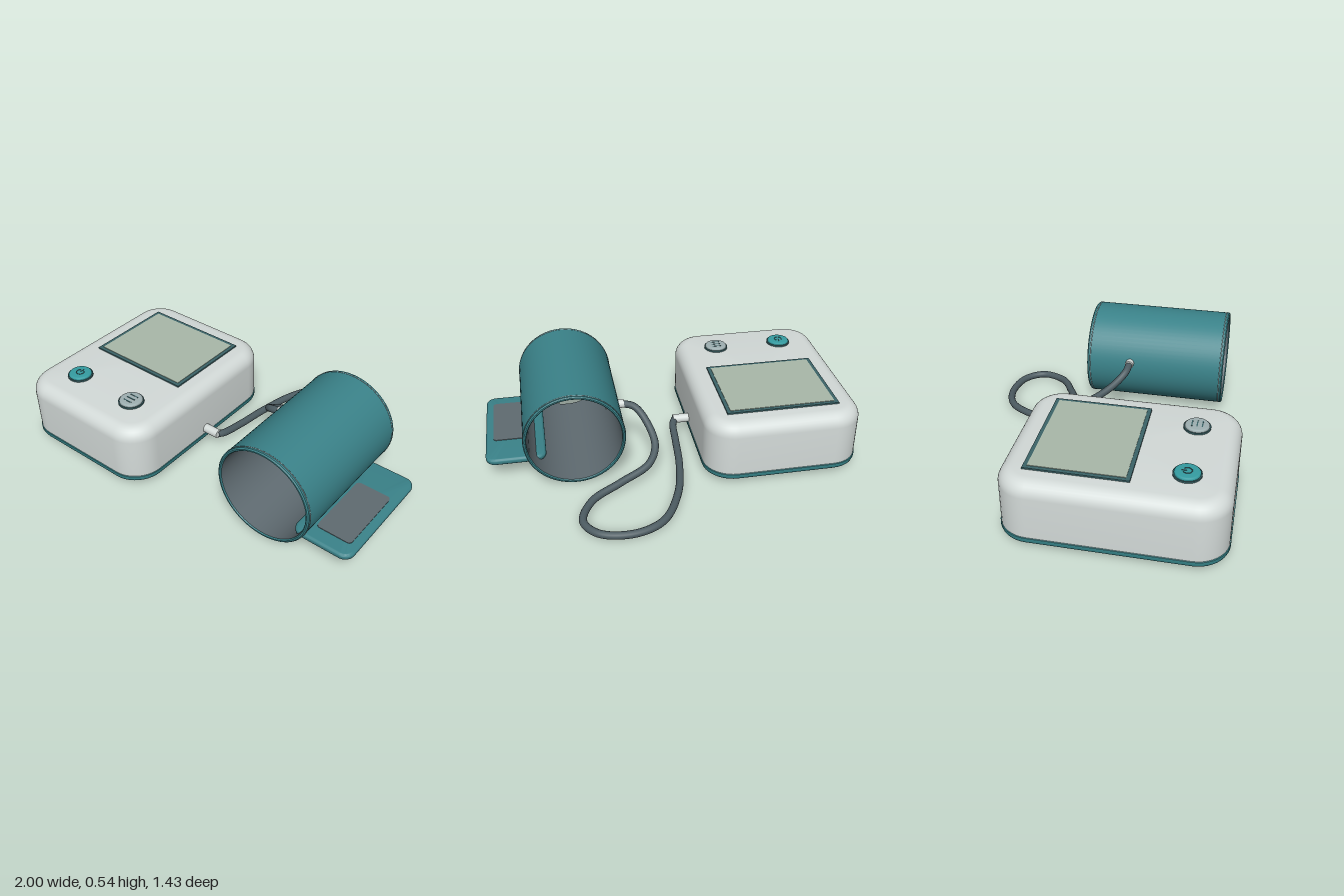
import * as THREE from 'three';
import { toCreasedNormals } from 'three/addons/utils/BufferGeometryUtils.js';

const mat = (color, side = THREE.FrontSide) =>
  new THREE.MeshStandardMaterial({ color, side, roughness: 0.6 });
const M = {
  white: mat(0xd3dad8), teal: mat(0x3a8289), base: mat(0x37868b), frame: mat(0x3c6468),
  screen: mat(0xa9b9a9), button: mat(0x359da2), grey: mat(0x9fb0b2), rubber: mat(0x2c3a40),
  hose: mat(0x4d5c62), liner: mat(0x5f6b71), trim: mat(0x8fa5a8),
};

function add(parent, name, geometry, material, x = 0, y = 0, z = 0) {
  const mesh = new THREE.Mesh(geometry, material);
  mesh.name = name;
  mesh.position.set(x, y, z);
  parent.add(mesh);
  return mesh;
}

// Rounded-rectangle slab lofted through [inset, y] rings, closed at both ends
function slab(w, d, r, rings, corner = 10) {
  const pos = [], idx = [], n = 4 * (corner + 1);
  const ring = (inset, y, flat) => {
    for (let q = 0; q < 4; q++) for (let i = 0; i <= corner; i++) {
      const a = (q + i / corner) * Math.PI / 2;
      const sx = q === 0 || q === 3 ? 1 : -1, sz = q < 2 ? 1 : -1;
      const rr = Math.max(r - inset, 0.002), k = flat ? 0 : 1;
      pos.push(k * (sx * (w / 2 - inset - rr) + rr * Math.cos(a)), y,
        k * (sz * (d / 2 - inset - rr) + rr * Math.sin(a)));
    }
  };
  const last = rings[rings.length - 1];
  ring(0, rings[0][1], true);
  rings.forEach(([inset, y]) => ring(inset, y));
  ring(0, last[1], true);
  for (let k = 0; k <= rings.length; k++) for (let i = 0; i < n; i++) {
    const a = k * n + i, b = k * n + (i + 1) % n;
    if (k > 0) idx.push(a, a + n, b);
    if (k < rings.length) idx.push(b, a + n, b + n);
  }
  const g = new THREE.BufferGeometry();
  g.setAttribute('position', new THREE.Float32BufferAttribute(pos, 3));
  g.setIndex(idx);
  return toCreasedNormals(g, 0.7);
}

// Quarter-round ring profile for the edge of a slab
function roundEdge(b, y0, y1, both = false) {
  const rings = [], steps = 8;
  if (both) for (let i = 0; i < steps; i++) {
    const a = i / steps * Math.PI / 2;
    rings.push([b * (1 - Math.sin(a)), y0 + b * (1 - Math.cos(a))]);
  }
  rings.push([0, both ? y0 + b : y0]);
  for (let i = both ? 1 : 0; i <= steps; i++) {
    const a = i / steps * Math.PI / 2;
    rings.push([b * (1 - Math.cos(a)), y1 - b + b * Math.sin(a)]);
  }
  return rings;
}

function buildMonitor() {
  const g = new THREE.Group();
  g.name = 'monitor';
  g.position.set(-0.573, 0, 0.163);
  add(g, 'housing', slab(0.85, 1.085, 0.16, roundEdge(0.075, 0.06, 0.36)), M.white);
  add(g, 'basePlate', slab(0.856, 1.092, 0.163,
    [[0.035, 0.02], [0.015, 0.023], [0.004, 0.032], [0, 0.042], [0, 0.058], [0.006, 0.064]]), M.base);

  // Display
  add(g, 'screenFrame', new THREE.BoxGeometry(0.61, 0.016, 0.5), M.frame, 0, 0.36, -0.17);
  add(g, 'screen', new THREE.BoxGeometry(0.57, 0.006, 0.46), M.screen, 0, 0.3675, -0.17);

  // Buttons with their symbols
  const cap = new THREE.LatheGeometry([[0.062, 0], [0.062, 0.016], [0.058, 0.021], [0.05, 0.023], [0, 0.024]]
    .map(p => new THREE.Vector2(...p)), 40);
  for (const side of [-1, 1]) {
    const b = new THREE.Group();
    b.name = side < 0 ? 'powerButton' : 'menuButton';
    b.position.set(side * 0.193, 0.358, 0.322);
    g.add(b);
    add(b, 'buttonRing', new THREE.CylinderGeometry(0.068, 0.068, 0.02, 40), M.frame, 0, 0.001, 0);
    add(b, 'buttonCap', cap, side < 0 ? M.button : M.grey);
    if (side < 0) {
      const arc = add(b, 'powerArc', new THREE.TorusGeometry(0.021, 0.0025, 6, 28, Math.PI * 1.6), M.frame, 0, 0.024, 0);
      arc.rotation.set(Math.PI / 2, 0, -Math.PI * 0.3);
      add(b, 'powerBar', new THREE.BoxGeometry(0.005, 0.004, 0.024), M.frame, 0, 0.024, -0.016);
    } else {
      for (const k of [-1, 0, 1])
        add(b, 'menuBar', new THREE.BoxGeometry(0.052, 0.004, 0.006), M.frame, 0, 0.023, k * 0.026);
    }
  }

  // Feet
  for (const x of [-1, 1]) for (const z of [-1, 1])
    add(g, 'foot', new THREE.CylinderGeometry(0.042, 0.038, 0.026, 24), M.rubber, x * 0.31, 0.013, z * 0.425);
  return g;
}

function buildCuff() {
  const g = new THREE.Group();
  g.name = 'cuff';
  const barrel = new THREE.Group();
  barrel.name = 'barrel';
  barrel.position.set(0.527, 0.27, 0.165);
  barrel.rotation.x = Math.PI / 2;
  g.add(barrel);
  const h = 0.39, ro = 0.265, ri = 0.247;
  const profile = [[ri, -h + 0.006], [ri + 0.005, -h], [ro - 0.006, -h], [ro, -h + 0.006],
    [ro, h - 0.006], [ro - 0.006, h], [ri + 0.005, h], [ri, h - 0.006]].map(p => new THREE.Vector2(...p));
  add(barrel, 'sleeve', toCreasedNormals(new THREE.LatheGeometry(profile, 72), 0.6), M.teal);
  add(barrel, 'liner', new THREE.CylinderGeometry(ri, ri, 2 * h - 0.012, 72, 1, true),
    mat(0x5f6b71, THREE.DoubleSide));
  for (const s of [-1, 1]) {
    const seam = add(barrel, 'seam', new THREE.TorusGeometry(ro - 0.001, 0.003, 6, 72), M.trim, 0, s * (h - 0.018), 0);
    seam.rotation.x = Math.PI / 2;
  }

  // Closing flap with fastener patch
  add(g, 'flap', slab(0.32, 0.645, 0.055, roundEdge(0.015, 0.095, 0.131, true)), M.teal, 0.838, 0, 0.198);
  add(g, 'fastenerPatch', slab(0.19, 0.38, 0.02, [[0, 0.125], [0, 0.134]]), M.liner, 0.862, 0, 0.25);
  return g;
}

function buildHose() {
  const g = new THREE.Group();
  g.name = 'hoseAssembly';
  const path = new THREE.CatmullRomCurve3([
    [-0.068, 0.088, 0.165], [-0.052, 0.08, 0.13], [-0.04, 0.058, -0.02], [-0.022, 0.045, -0.22],
    [0.03, 0.036, -0.45], [0.14, 0.027, -0.64], [0.29, 0.021, -0.7], [0.46, 0.021, -0.67],
    [0.53, 0.024, -0.57], [0.47, 0.035, -0.43], [0.31, 0.058, -0.335], [0.15, 0.098, -0.255],
    [0.1, 0.15, -0.16], [0.13, 0.235, -0.045], [0.185, 0.295, 0.015], [0.255, 0.315, 0.026],
  ].map(p => new THREE.Vector3(...p)));
  add(g, 'hose', new THREE.TubeGeometry(path, 180, 0.02, 14), M.hose);
  const port = add(g, 'monitorPort', new THREE.CylinderGeometry(0.025, 0.025, 0.11, 24), M.white, -0.113, 0.09, 0.165);
  const nipple = add(g, 'cuffPort', new THREE.CylinderGeometry(0.024, 0.024, 0.1, 24), M.white, 0.29, 0.315, 0.026);
  port.rotation.z = nipple.rotation.z = Math.PI / 2;
  return g;
}

export function createModel() {
  const model = new THREE.Group();
  model.name = 'bloodPressureMonitor';
  model.add(buildMonitor(), buildCuff(), buildHose());
  return model;
}
